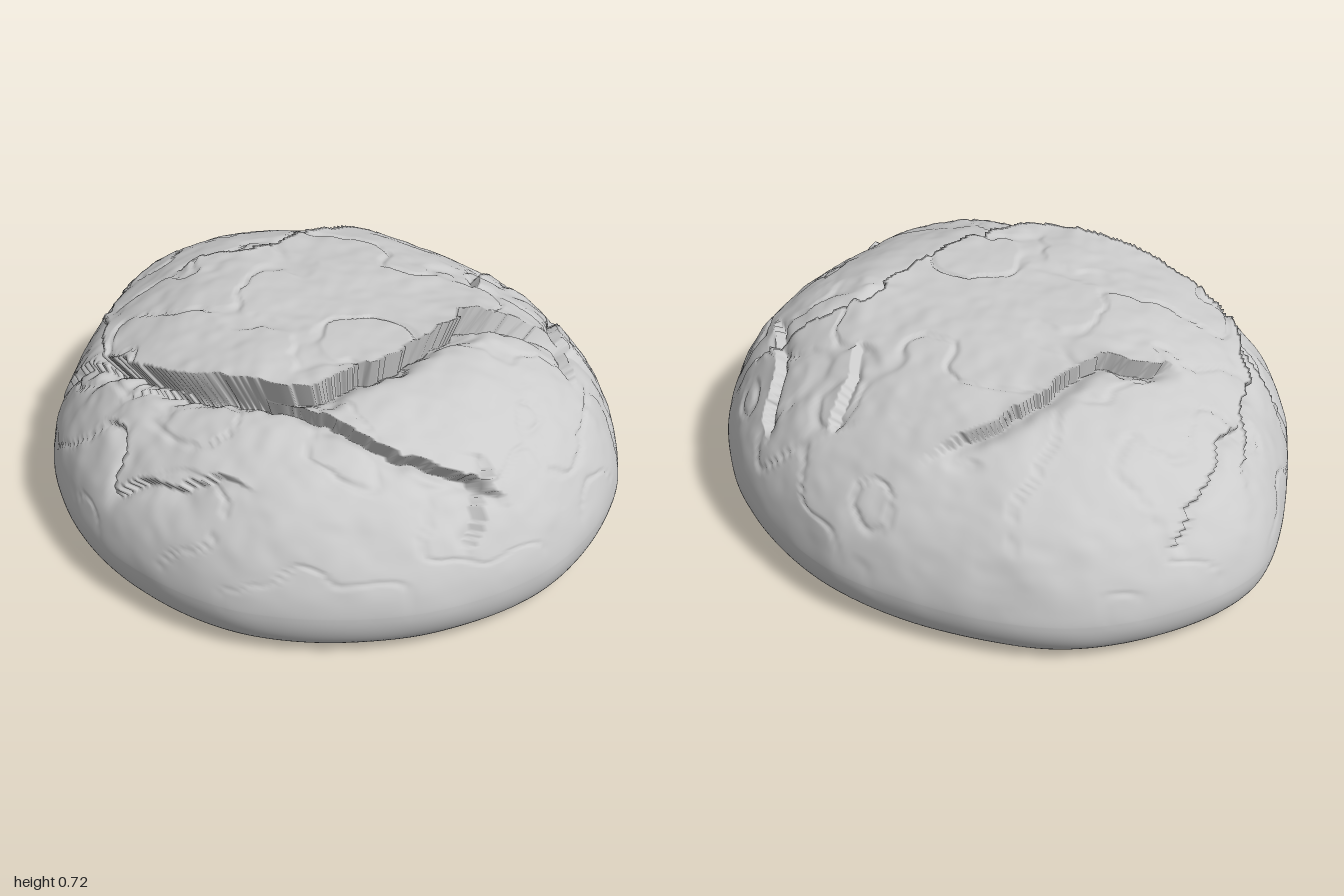
import * as THREE from 'three';

const SEGMENTS = 320;
const { lerp, clamp, smoothstep } = THREE.MathUtils;

// Seeded smooth value noise, from -1 to 1
const hash = (x, y, z) => {
  const n = Math.sin(x * 127.1 + y * 311.7 + z * 74.7) * 43758.5;
  return n - Math.floor(n);
};
function noise(x, y, z) {
  const [a, b, c] = [x, y, z].map(Math.floor);
  const [u, v, w] = [x - a, y - b, z - c].map(t => t * t * (3 - 2 * t));
  const row = (j, k) => lerp(hash(a, b + j, c + k), hash(a + 1, b + j, c + k), u);
  const layer = k => lerp(row(0, k), row(1, k), v);
  return lerp(layer(0), layer(1), w) * 2 - 1;
}

// Plan outline: radius every 30 degrees, from the left side round by the front
const RADII = [1, 1.01, 0.985, 0.975, 0.945, 0.945, 0.96, 1.1, 1.075, 0.985, 0.96, 0.97];
const outline = new THREE.CatmullRomCurve3(RADII.map((r, i) => {
  const angle = i * Math.PI / 6;
  return new THREE.Vector3(r * Math.cos(angle), 0, r * Math.sin(angle));
}), true, 'catmullrom');

// Side profile: [share of the outline, height] from the crown to the middle of the base
function loafProfile() {
  const rings = [];
  for (let i = 0; i <= 150; i++) {
    const share = Math.sin(i / 150 * Math.PI / 2);
    rings.push([share, 0.17 + 0.545 * (1 - share ** 2.9) ** 0.59]);
  }
  for (let i = 1; i <= 16; i++) {
    const angle = i / 16 * Math.PI / 2;
    rings.push([0.88 + 0.12 * Math.cos(angle), 0.17 - 0.16 * Math.sin(angle)]);
  }
  for (let i = 1; i <= 14; i++) rings.push([0.88 * (1 - i / 14), 0.01]);
  return rings;
}

// A crust crack along a plan path; the crust is lower on one side of it
function makeCrack(path, lip, groove, slump, width) {
  const points = new THREE.CatmullRomCurve3(path.map(([x, z]) => new THREE.Vector3(x, 0, z)))
    .getPoints(path.length * 4);
  return { points, lip, groove, slump, width };
}
const CRACKS = [
  // long tear round the top plate
  makeCrack([[-0.9, -0.5], [-0.77, 0.02], [-0.62, 0.36], [-0.35, 0.46], [0.1, 0.45], [0.32, 0.15], [0.5, -0.15],
    [0.92, -0.28]], 0.022, 0.055, 0.04, 0.045),
  // second step below the front
  makeCrack([[-0.64, 0.46], [0.05, 0.51], [0.4, 0.6], [0.75, 0.5]], 0.022, 0.03, 0.03, 0.035),
  // open tear across the back
  makeCrack([[0.08, -0.74], [-0.2, -0.53], [-0.4, -0.26], [-0.62, -0.18]], 0.025, 0.045, 0.012, 0.05),
  // lesser cracks: front, back left, left, back right, right
  ...[
    [[-0.62, 0.5], [-0.4, 0.75], [0.02, 0.78]],
    [[0.38, -0.68], [0.43, -0.34]],
    [[0.64, -0.6], [0.7, -0.35], [0.84, -0.05]],
    [[-0.75, -0.75], [-0.8, -0.2]],
    [[0.64, 0.48], [0.65, 0.72]],
    [[-0.95, 0.12], [-0.66, 0.3]],
  ].map(path => makeCrack(path, 0.01, 0.02, 0.008, 0.026)),
];

// Height change that one crack makes at a plan position
function crackRelief({ points, lip, groove, slump, width }, x, z) {
  let nearest = Infinity, side = 1, along = 0;
  for (let i = 0; i < points.length - 1; i++) {
    const a = points[i], dx = points[i + 1].x - a.x, dz = points[i + 1].z - a.z;
    const px = x - a.x, pz = z - a.z;
    const t = clamp((px * dx + pz * dz) / (dx * dx + dz * dz), 0, 1);
    const distance = Math.hypot(px - t * dx, pz - t * dz);
    if (distance < nearest) {
      nearest = distance;
      side = dx * pz - dz * px;
      along = (i + t) / (points.length - 1);
    }
  }
  const taper = smoothstep(Math.min(along, 1 - along), 0, 0.16);
  if (side < 0) return taper * lip * Math.exp(-nearest / 0.07);
  return -taper * (groove * Math.exp(-((nearest / width) ** 2)) + slump * Math.exp(-nearest / 0.2));
}

// Soft lumps all over, then pitting, flaky ridges and cracks on the upper crust
function relief({ x, y, z }) {
  const crust = smoothstep(y, 0.12, 0.45);
  const lumps = 0.01 * noise(x * 3.5, y * 3.5, z * 3.5) + 0.005 * noise(x * 9, y * 9, z * 9);
  let height = lumps * smoothstep(y, 0.015, 0.3);
  if (crust > 0) {
    const wander = seed => 0.03 * noise(x * 8, seed, z * 8) + 0.012 * noise(x * 24, seed, z * 24);
    const wx = x + wander(3), wz = z + wander(9);
    const ridge = 1 - Math.abs(noise(wx * 5, y * 5, wz * 5));
    height += crust * (0.003 * noise(x * 22, y * 22, z * 22) - 0.009 * smoothstep(ridge, 0.93, 1));
    for (const crack of CRACKS) height += crust * crackRelief(crack, wx, wz);
  }
  return height;
}

// Rings of the outline, scaled and lifted by the profile, then roughened
function loafGeometry() {
  const rings = loafProfile();
  const position = [], index = [];
  const p = new THREE.Vector3(), outward = new THREE.Vector3();
  rings.forEach(([share, height], i) => {
    for (let j = 0; j < SEGMENTS; j++) {
      outline.getPoint(j / SEGMENTS, p).multiplyScalar(share).setY(height);
      const base = 1 - smoothstep(height, 0.01, 0.06);
      outward.set(p.x * 0.6, p.y - 0.12, p.z * 0.6).normalize();
      p.addScaledVector(outward, relief(p));
      p.y = Math.max(0, p.y + 0.012 * base * noise(p.x * 5, 20, p.z * 5));
      position.push(p.x, p.y, p.z);
      if (i < rings.length - 1) {
        const a = i * SEGMENTS + j, b = i * SEGMENTS + (j + 1) % SEGMENTS;
        index.push(a, b, a + SEGMENTS, b, b + SEGMENTS, a + SEGMENTS);
      }
    }
  });
  const geometry = new THREE.BufferGeometry();
  geometry.setAttribute('position', new THREE.Float32BufferAttribute(position, 3));
  geometry.setIndex(index);
  geometry.computeVertexNormals();
  return geometry;
}

export function createModel() {
  const group = new THREE.Group();
  group.name = 'breadLoaf';
  const crust = new THREE.Mesh(loafGeometry(), new THREE.MeshStandardMaterial({ color: 0xcccccc }));
  crust.name = 'crust';
  group.add(crust);
  return group;
}
